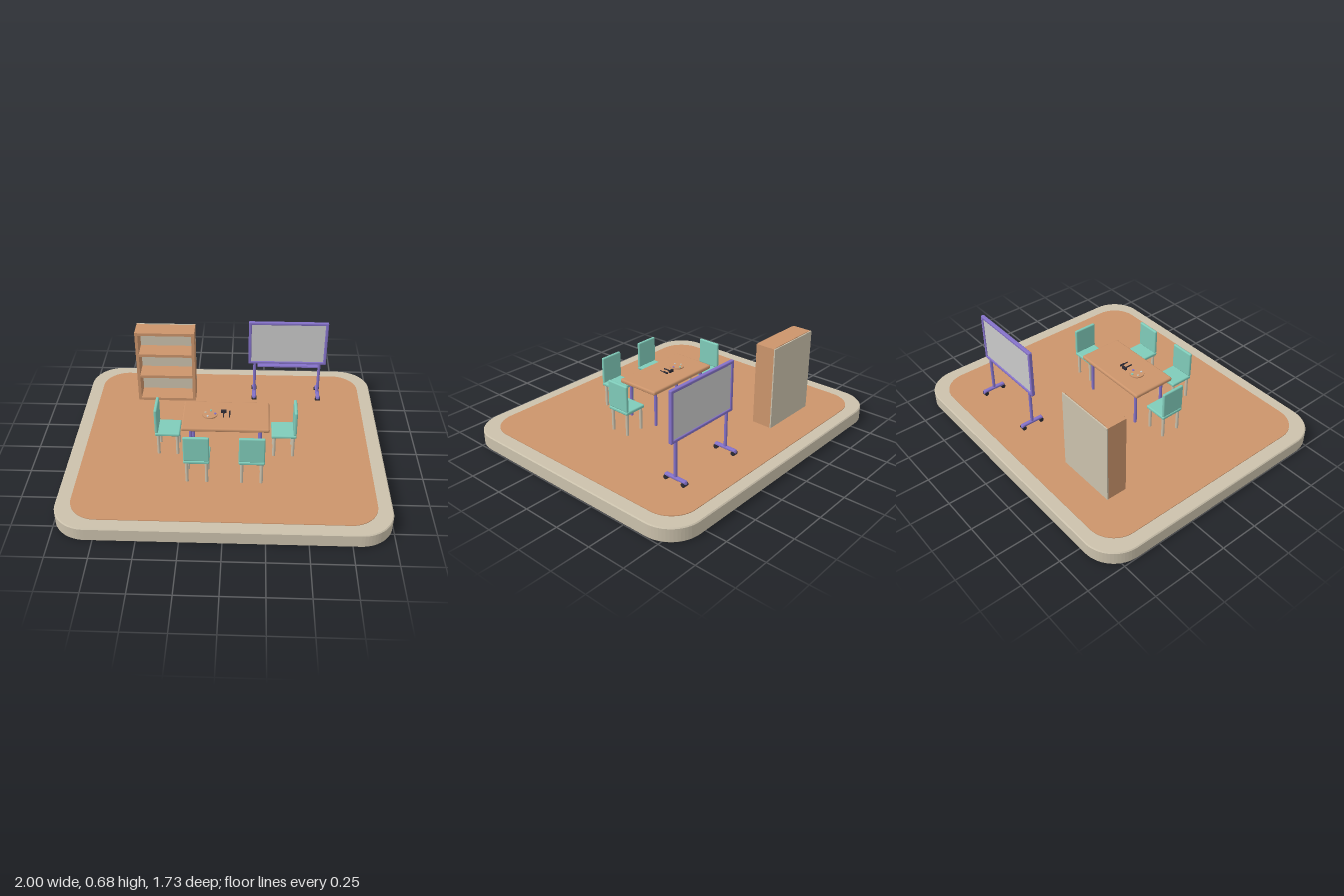
import * as THREE from 'three';
import { RoundedBoxGeometry } from 'three/addons/geometries/RoundedBoxGeometry.js';

const material = (name, color) => {
  const m = new THREE.MeshStandardMaterial({ color });
  m.name = name;
  return m;
};

export function createModel() {
  const beige = material('beige', 0xcbc1ac);
  const wood = material('wood', 0xcb946b);
  const teal = material('teal', 0x7fcbb9);
  const purple = material('purple', 0x8471c8);
  const grey = material('board grey', 0xc9c9c9);
  const dark = material('dark', 0x2c2a33);
  const FLOOR = 0.096;

  const model = new THREE.Group();
  model.name = 'studyRoom';

  const group = (name, x = 0, y = 0, z = 0, parent = model) => {
    const g = new THREE.Group();
    g.name = name;
    g.position.set(x, y, z);
    parent.add(g);
    return g;
  };
  const add = (parent, name, geometry, mat, x = 0, y = 0, z = 0) => {
    const mesh = new THREE.Mesh(geometry, mat);
    mesh.name = name;
    mesh.position.set(x, y, z);
    parent.add(mesh);
    return mesh;
  };
  const box = (w, h, d) => new THREE.BoxGeometry(w, h, d);
  const round = (w, h, d, r) => new RoundedBoxGeometry(w, h, d, 3, r);
  const cylinder = (r, h, sides = 16) => new THREE.CylinderGeometry(r, r, h, sides);

  // Slab with rounded corners, lying flat with its underside at y = 0
  const slab = (hw, hd, r, height, bevel) => {
    const w = hw - bevel, d = hd - bevel, s = new THREE.Shape();
    s.absarc(w - r, d - r, r, 0, Math.PI / 2);
    s.absarc(-w + r, d - r, r, Math.PI / 2, Math.PI);
    s.absarc(-w + r, -d + r, r, Math.PI, Math.PI * 1.5);
    s.absarc(w - r, -d + r, r, Math.PI * 1.5, Math.PI * 2);
    const g = new THREE.ExtrudeGeometry(s, {
      depth: height - 2 * bevel, bevelEnabled: bevel > 0, bevelSize: bevel,
      bevelThickness: bevel, bevelSegments: 1, curveSegments: 8,
    });
    return g.rotateX(-Math.PI / 2).translate(0, bevel, 0);
  };

  // Base and floor
  add(model, 'base', slab(1, 0.863, 0.2, 0.092, 0.006), beige);
  add(model, 'floor', slab(0.912, 0.784, 0.17, 0.006, 0), wood, 0, 0.09, 0);

  // Bookshelf with open front
  const shelf = group('bookshelf', -0.435, FLOOR, -0.502);
  const shelfH = 0.537;
  for (const s of [-1, 1]) add(shelf, 'sidePanel', box(0.02, shelfH, 0.13), wood, s * 0.19, shelfH / 2, 0);
  for (const y of [0.01, 0.195, 0.363, shelfH - 0.01]) {
    add(shelf, 'shelfBoard', box(0.36, 0.02, 0.126), wood, 0, y, 0.004);
  }
  add(shelf, 'backPanel', box(0.4, shelfH, 0.008), beige, 0, shelfH / 2, -0.068);

  // Table
  const table = group('table', -0.003, FLOOR, 0.098);
  add(table, 'tableTop', round(0.546, 0.027, 0.297, 0.011), wood, 0, 0.2525, 0);
  for (const sx of [-1, 1]) for (const sz of [-1, 1]) {
    add(table, 'tableLeg', cylinder(0.01, 0.245), purple, sx * 0.217, 0.1225, sz * 0.106);
  }

  // Palette with paint dabs
  const palette = group('palette', -0.105, 0.362, 0.098);
  add(palette, 'paletteDisc', cylinder(0.048, 0.008, 28), wood, 0, 0.004, 0);
  [[0.034, 0, purple], [0.006, -0.032, teal], [-0.028, -0.012, beige], [-0.012, 0.028, grey]]
    .forEach(([x, z, m]) => add(palette, 'paintDab', cylinder(0.007, 0.004, 12), m, x, 0.01, z));

  // Small tools beside the palette
  const hammer = group('hammer', -0.018, 0.362, 0.098);
  add(hammer, 'hammerHead', box(0.034, 0.016, 0.014), dark, 0, 0.008, -0.028);
  add(hammer, 'hammerHandle', cylinder(0.004, 0.055, 10).rotateX(Math.PI / 2), dark, 0, 0.006, 0.004);
  const driver = group('screwdriver', 0.02, 0.362, 0.098);
  add(driver, 'driverHandle', cylinder(0.006, 0.03, 10).rotateX(Math.PI / 2), dark, 0, 0.006, -0.016);
  add(driver, 'driverBlade', cylinder(0.003, 0.034, 8).rotateX(Math.PI / 2), dark, 0, 0.006, 0.014);

  // Chairs, backrest towards local +z
  const chair = (name, x, z, turn) => {
    const c = group(name, x, FLOOR, z);
    c.rotation.y = turn;
    add(c, 'seat', round(0.157, 0.022, 0.157, 0.008), teal, 0, 0.156, 0);
    add(c, 'backrest', round(0.157, 0.174, 0.02, 0.008), teal, 0, 0.254, 0.0685);
    for (const sx of [-1, 1]) for (const sz of [-1, 1]) {
      add(c, 'chairLeg', cylinder(0.01, 0.15), beige, sx * 0.06, 0.075, sz * 0.06);
    }
  };
  chair('frontRightChair', -0.17, 0.366, 0);
  chair('frontLeftChair', 0.163, 0.366, 0);
  chair('rightChair', -0.37, 0.098, -Math.PI / 2);
  chair('leftChair', 0.363, 0.098, Math.PI / 2);

  // Whiteboard on a rolling stand
  const board = group('whiteboard', 0.397, 0, -0.533);
  add(board, 'boardPanel', box(0.51, 0.3, 0.01), grey, 0, 0.519, 0);
  for (const s of [-1, 1]) {
    add(board, 'frameRail', round(0.536, 0.02, 0.024, 0.006), purple, 0, 0.519 + s * 0.152, 0);
    add(board, 'frameSide', round(0.02, 0.324, 0.024, 0.006), purple, s * 0.258, 0.519, 0);
    add(board, 'standPost', cylinder(0.01, 0.25), purple, s * 0.223, 0.245, 0);
    add(board, 'standFoot', round(0.026, 0.018, 0.155, 0.007), purple, s * 0.223, 0.126, -0.002);
    for (const z of [-0.067, 0.063]) {
      add(board, 'castor', cylinder(0.014, 0.034).rotateZ(Math.PI / 2), dark, s * 0.223, 0.111, z);
      add(board, 'castorCap', new THREE.SphereGeometry(0.0165, 14, 10), purple, s * 0.223, 0.119, z);
    }
  }
  add(board, 'penTray', box(0.415, 0.009, 0.034), purple, 0.003, 0.357, 0.027);

  return model;
}
